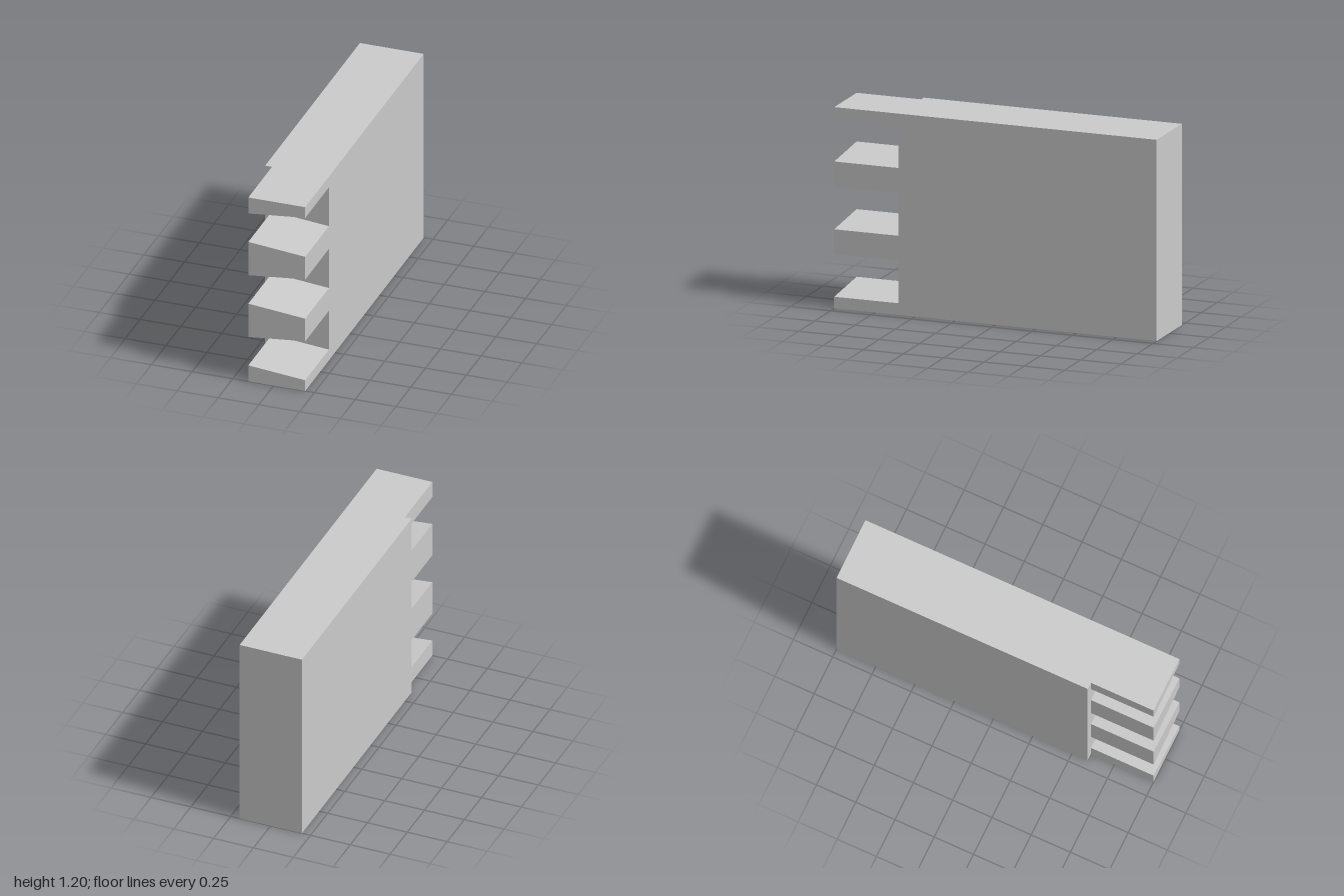
import * as THREE from 'three';

const BACK = -0.197, FACE = 0.194;   // the two broad faces of the board
const SHOULDER = -0.155;             // tails are set back from one face
const HEIGHT = 1.2, JOINT_Z = 0.6;

export function createModel() {
  const group = new THREE.Group();
  group.name = 'dovetailBoard';
  const material = new THREE.MeshStandardMaterial({ color: 0xcccccc, flatShading: true });

  // Solid board behind the joint
  const board = new THREE.Mesh(new THREE.BoxGeometry(FACE - BACK, HEIGHT, 1 + JOINT_Z), material);
  board.name = 'board';
  board.position.set((BACK + FACE) / 2, HEIGHT / 2, (JOINT_Z - 1) / 2);
  group.add(board);

  // Flared fingers: [bottom, top] at the shoulder, then [bottom, top] at the face
  const fingers = [
    [0, 0.104, 0, 0.07],
    [0.29, 0.507, 0.324, 0.472],
    [0.693, 0.91, 0.728, 0.876],
    [1.096, HEIGHT, 1.13, HEIGHT],
  ];
  fingers.forEach(([b0, t0, b1, t1], i) => {
    const section = new THREE.Shape([
      new THREE.Vector2(SHOULDER, b0),
      new THREE.Vector2(FACE, b1),
      new THREE.Vector2(FACE, t1),
      new THREE.Vector2(SHOULDER, t0),
    ]);
    const finger = new THREE.Mesh(
      new THREE.ExtrudeGeometry(section, { depth: 1 - JOINT_Z, bevelEnabled: false }), material);
    finger.name = `dovetailFinger${i + 1}`;
    finger.position.z = JOINT_Z;
    group.add(finger);
  });

  return group;
}
